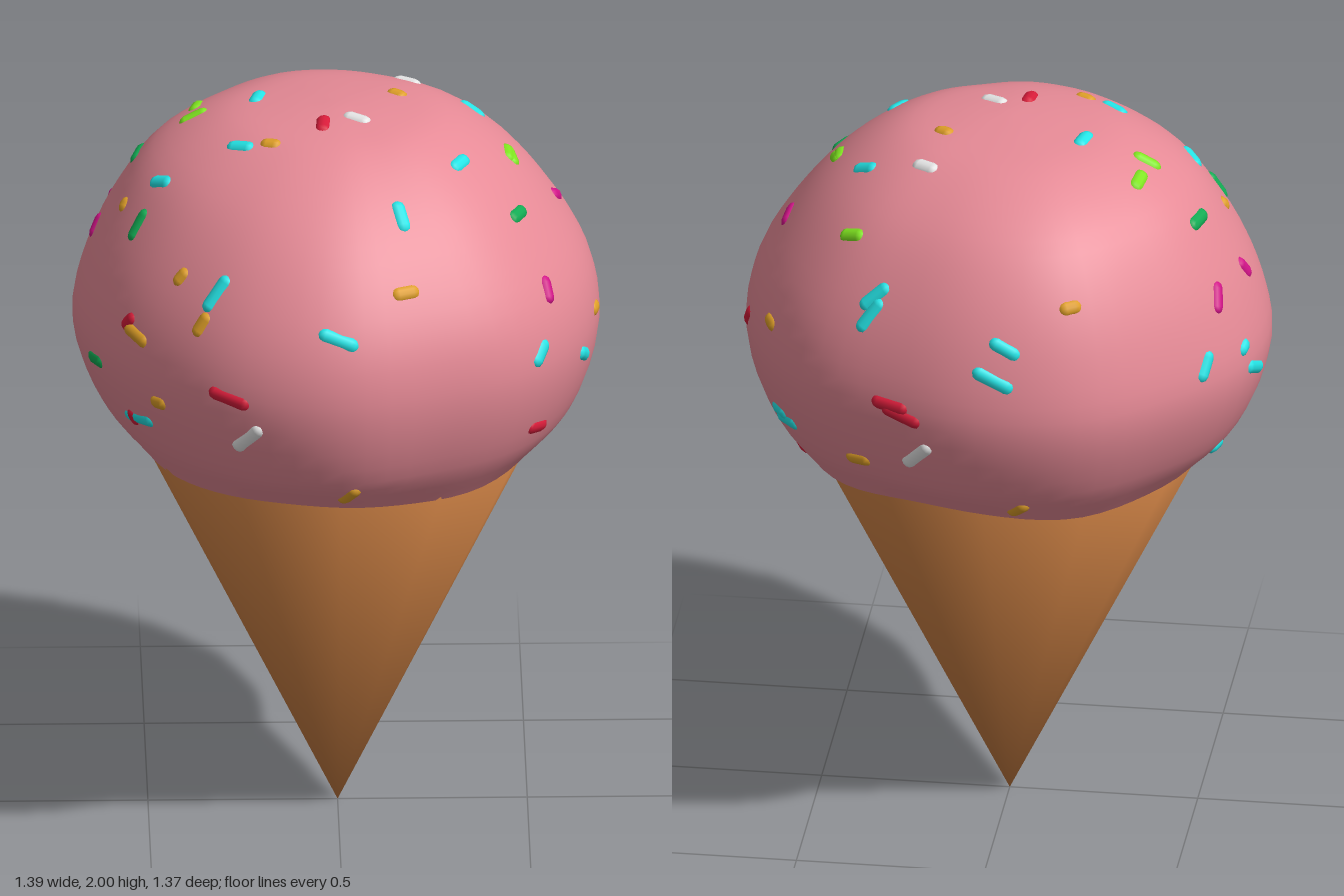
import * as THREE from 'three';
import { mergeGeometries, mergeVertices } from 'three/addons/utils/BufferGeometryUtils.js';

const COLOURS = {
  scoopPink: 0xe68a96, waferTan: 0xd28446, cyan: 0x28f8fa, lime: 0x8cfa24, green: 0x12ac54,
  red: 0xd81c3a, orange: 0xe0a028, white: 0xe6e6e6, magenta: 0xd4148a,
};

// Widest outline of the scoop, one radius per 22.5 degrees from +x towards +z
const OUTLINE = [.69, .68, .67, .65, .68, .675, .66, .672, .697, .707, .69, .706, .688, .67, .695, .698];
// Heights and the share of the outline radius reached there, towards +x, +z, -x and -z
const HEIGHTS = [1.07, 1.18, 1.38, 1.55, 1.72, 1.86, 1.96, 2.0];
const SHARES = [
  [.78, .91, 1, .965, .82, .64, .42, 0],
  [.80, .92, 1, .965, .82, .61, .36, 0],
  [.77, .90, 1, .955, .84, .69, .45, 0],
  [.79, .91, 1, .97, .87, .71, .46, 0],
];

// Smooth periodic interpolation through a ring of numbers
function ring(values, turn) {
  const n = values.length, f = turn * n, i = Math.floor(f), t = f - i;
  const [a, b, c, d] = [-1, 0, 1, 2].map((k) => values[(i + k + n) % n]);
  return b + .5 * t * (c - a + t * (2 * a - 5 * b + 4 * c - d + t * (3 * (b - c) + d - a)));
}

// Side curve of the scoop at one azimuth, with a wavy lower rim and a rounded crown
function profile(turn) {
  const r = ring(OUTLINE, turn);
  const points = HEIGHTS.map((y, k) => {
    const wave = k === 0 ? .012 * Math.sin(turn * Math.PI * 8 + .8) : 0;
    return new THREE.Vector3(r * ring(SHARES.map((s) => s[k]), turn), y + wave, 0);
  });
  points.splice(-1, 0, new THREE.Vector3(points.at(-2).x * .48, 1.99, 0));
  return new THREE.CatmullRomCurve3(points);
}

// Closed surface around y from a list of (radius, height) points per azimuth
function sweep(pointsAt, around) {
  const pos = [], index = [];
  let rows = 0;
  for (let i = 0; i < around; i++) {
    const turn = i / around, a = turn * Math.PI * 2, pts = pointsAt(turn);
    rows = pts.length;
    for (const p of pts) pos.push(p.x * Math.cos(a), p.y, p.x * Math.sin(a));
  }
  for (let i = 0; i < around; i++) {
    for (let j = 0; j < rows - 1; j++) {
      const a = i * rows + j, b = ((i + 1) % around) * rows + j;
      index.push(a, a + 1, b, b, a + 1, b + 1);
    }
  }
  let g = new THREE.BufferGeometry();
  g.setAttribute('position', new THREE.Float32BufferAttribute(pos, 3));
  g.setIndex(index);
  g = mergeVertices(g, 1e-5);
  g.computeVertexNormals();
  return g;
}

// Sprinkles on each side: colour, across, up, tilt in degrees
const FRONT = [
  ['cyan', -.01, 1.6, -20], ['cyan', -.33, 1.67, 55], ['orange', .17, 1.69, 0], ['red', -.3, 1.42, -12],
  ['white', -.25, 1.31, 50], ['cyan', -.53, 1.25, 20], ['orange', .02, 1.13, 50], ['orange', -.37, 1.59, 60],
  ['orange', -.54, 1.5, -20],
];
const LEFT = [
  ['lime', .02, 1.85, 5], ['magenta', .09, 1.7, -25], ['magenta', -.31, 1.6, 60], ['cyan', -.41, 1.46, 50],
  ['cyan', -.21, 1.37, -30], ['red', .18, 1.44, 50], ['orange', .35, 1.51, -15], ['cyan', .35, 1.25, 5],
  ['green', -.2, 1.77, 0], ['red', .16, 1.12, -15], ['orange', -.09, 1.45, 0], ['red', -.37, 1.23, -15],
];
const TOP = [
  ['cyan', .3, .54, 15], ['white', .19, .26, -30], ['cyan', .36, .19, -35], ['lime', -.37, .19, 80],
  ['lime', -.38, .1, 0], ['cyan', -.21, .1, 75], ['orange', .16, .11, -35], ['lime', .46, .02, -75],
  ['white', .05, -.07, -30], ['red', -.04, -.1, 85], ['cyan', -.26, -.15, -30], ['cyan', .32, -.17, 60],
  ['orange', -.18, -.17, -25], ['cyan', -.47, -.12, -50], ['lime', .37, .38, -30], ['cyan', .16, -.38, -70],
];
const BACK_RIGHT = [
  ['cyan', -.32, 1.21, -45], ['orange', -.14, 1.28, 0], ['red', -.56, 1.12, -40], ['green', .33, 1.42, 20],
  ['magenta', .32, 1.21, 75], ['cyan', .24, 1.04, 60], ['cyan', .44, 1, -10], ['cyan', -.54, 1.41, 35],
];
const BACK_LEFT = [
  ['cyan', -.22, 1.38, 20], ['orange', .05, 1.37, 0], ['red', .21, 1.54, -20], ['white', .24, 1.42, 40],
  ['red', -.31, 1.2, 0], ['orange', .42, 1.18, 35], ['cyan', .43, 1.61, -35],
];

// Small seeded random numbers
function seeded(seed) {
  return () => (seed = (seed * 16807) % 2147483647) / 2147483647;
}

// Capsules sunk into the scoop, gathered by colour
function sprinkleGeometries(scoop) {
  const byColour = {}, caster = new THREE.Raycaster(), rad = THREE.MathUtils.degToRad;

  // Drops one sprinkle on the scoop along a direction
  const lay = (azimuth, elevation, [colour, u, v, tilt], length) => {
    const a = rad(azimuth), e = rad(elevation), t = rad(tilt);
    const half = length * (colour === 'orange' ? .25 : .5);
    const toward = new THREE.Vector3(Math.sin(a) * Math.cos(e), Math.sin(e), Math.cos(a) * Math.cos(e));
    const right = new THREE.Vector3(Math.cos(a), 0, -Math.sin(a));
    const up = toward.clone().cross(right);
    const [p, q] = [-half, half].map((s) => {
      const from = toward.clone().multiplyScalar(6)
        .addScaledVector(right, u + Math.cos(t) * s).addScaledVector(up, v + Math.sin(t) * s);
      caster.set(from, toward.clone().negate());
      const hit = caster.intersectObject(scoop)[0];
      return hit.point.addScaledVector(hit.face.normal, -.014);
    });
    const along = q.clone().sub(p), mid = p.add(q).multiplyScalar(.5);
    const g = new THREE.CapsuleGeometry(.023, Math.min(along.length(), .1), 3, 12);
    g.applyQuaternion(new THREE.Quaternion().setFromUnitVectors(new THREE.Vector3(0, 1, 0), along.normalize()));
    g.translate(mid.x, mid.y, mid.z);
    (byColour[colour] ??= []).push(g);
  };

  for (const item of FRONT) lay(0, 0, item, .075);
  for (const item of LEFT) lay(90, 0, item, .04);
  for (const item of TOP) lay(0, 90, item, .042);
  for (const item of BACK_RIGHT) lay(216, 26, item, .05);
  for (const item of BACK_LEFT) lay(144, -26, item, .08);

  // Smaller sprinkles scattered over the right side
  const random = seeded(77), names = ['cyan', 'orange', 'red', 'green', 'orange', 'magenta'];
  for (let i = 0; i < 10; i++) {
    const azimuth = 250 + (i * 137.5) % 75;
    lay(azimuth, 0, [names[i % names.length], 0, 1.15 + random() * .6, random() * 180], .01 + random() * .04);
  }
  return byColour;
}

export function createModel() {
  const model = new THREE.Group();
  const mats = {};
  for (const [name, color] of Object.entries(COLOURS)) {
    mats[name] = new THREE.MeshStandardMaterial({ color });
    mats[name].name = name;
  }
  const add = (name, geometry, material) => {
    const mesh = new THREE.Mesh(geometry, material);
    mesh.name = name;
    model.add(mesh);
    return mesh;
  };

  // Wafer cone standing on its tip, shaded softly over its rim
  const tipAndRim = [new THREE.Vector3(0, 0, 0), new THREE.Vector3(.53, 1.075, 0), new THREE.Vector3(0, 1.075, 0)];
  add('cone', sweep(() => tipAndRim, 12), mats.waferTan);

  // Scoop and its underside around the cone
  const scoop = add('scoop', sweep((turn) => profile(turn).getPoints(32), 64), mats.scoopPink);
  add('scoopUnderside', sweep((turn) => [new THREE.Vector3(.42, 1.07, 0), profile(turn).getPoint(0)], 64), mats.scoopPink);

  // Sprinkles
  for (const [colour, parts] of Object.entries(sprinkleGeometries(scoop))) {
    add(`${colour}Sprinkles`, mergeGeometries(parts), mats[colour]);
  }
  return model;
}
